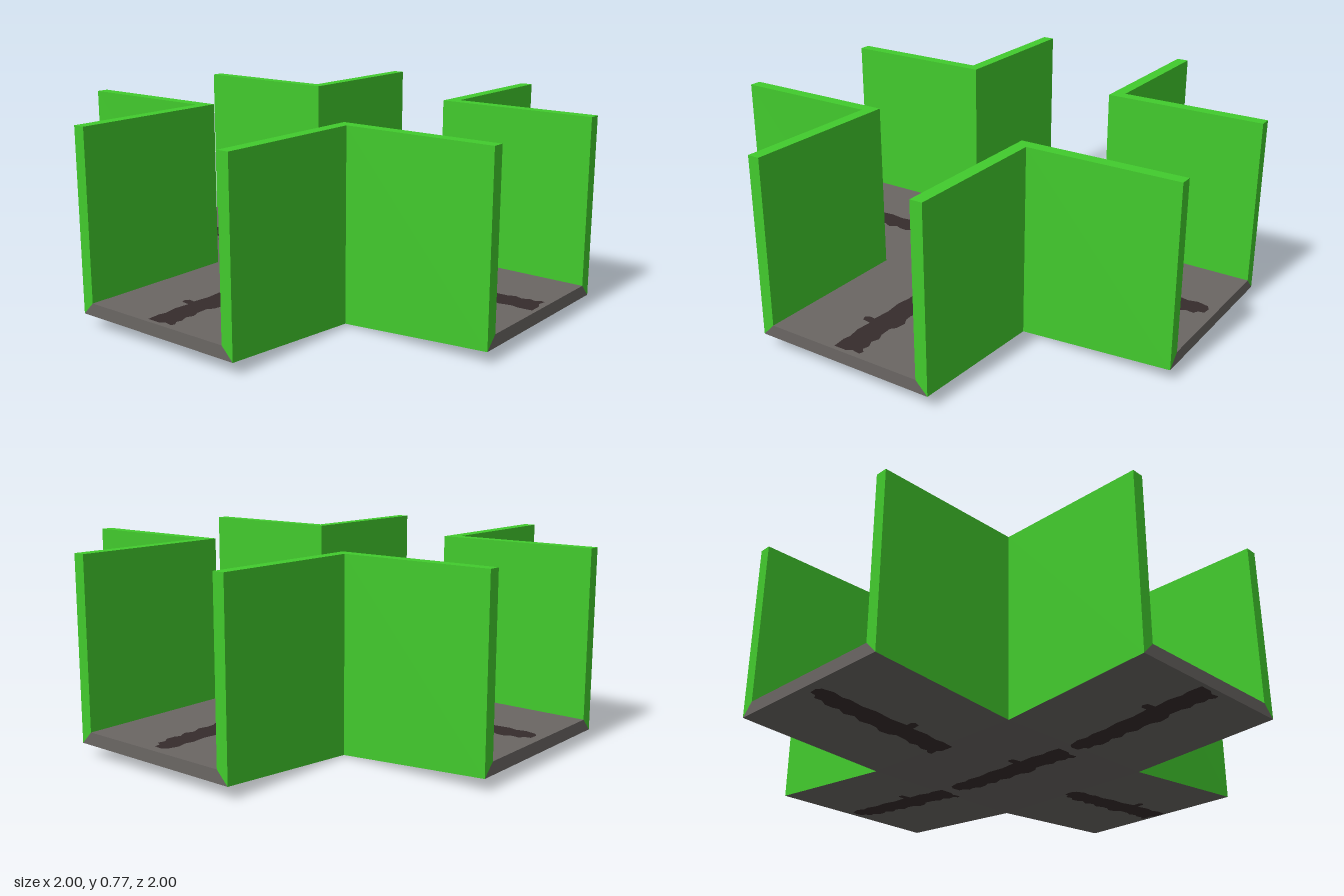
import * as THREE from 'three';

const OUT = 0.385, IN = 0.335, FOLD = 0.375;      // wall outside, wall inside, underside fold
const TOP = 0.77, FLOOR = 0.1, RIM = 0.05, BASE = 0.004;

// Flat quads, corners counter-clockwise from outside
function quads(list) {
  const pos = [];
  for (const [a, b, c, d] of list) pos.push(...a, ...b, ...c, ...a, ...c, ...d);
  const geo = new THREE.BufferGeometry();
  geo.setAttribute('position', new THREE.Float32BufferAttribute(pos, 3));
  geo.computeVertexNormals();
  return geo;
}

// Ragged stripe outline: [across, along]
const STRIPE = [
  [-0.04, -0.955], [-0.02, -0.968], [0.015, -0.965], [0.02, -0.94], [0.04, -0.93], [0.035, -0.9],
  [0.052, -0.875], [0.05, -0.84], [0.04, -0.82], [0.058, -0.785], [0.042, -0.75], [0.06, -0.71],
  [0.05, -0.67], [0.052, -0.64], [0.068, -0.61], [0.062, -0.57], [0.045, -0.55], [0.047, -0.5],
  [0.06, -0.47], [0.048, -0.44], [0.062, -0.41], [0.055, -0.385], [0.07, -0.37], [0.065, -0.352],
  [0.03, -0.358], [0.01, -0.345], [-0.045, -0.345], [-0.05, -0.4], [-0.043, -0.43], [-0.053, -0.48],
  [-0.047, -0.545], [-0.085, -0.55], [-0.092, -0.57], [-0.08, -0.582], [-0.053, -0.58],
  [-0.045, -0.65], [-0.052, -0.72], [-0.043, -0.78], [-0.05, -0.84], [-0.042, -0.87], [-0.052, -0.91],
];

function stripeGeometry(offset, below) {
  const shape = new THREE.Shape(STRIPE.map(([v, u]) => new THREE.Vector2(v, -(u + offset))));
  const geo = new THREE.ShapeGeometry(shape).rotateX(-Math.PI / 2);
  const p = geo.attributes.position;
  const centre = Math.abs(offset - 0.665) < 0.1;
  for (let i = 0; i < p.count; i++) {
    // the underside of each arm rises towards its end
    const rise = centre ? 0 : (Math.abs(p.getZ(i)) - FOLD) / (1 - FOLD) * (RIM - BASE);
    p.setY(i, below ? BASE + rise - 0.0015 : FLOOR + 0.002);
  }
  if (below) {
    const idx = geo.index.array;
    for (let i = 0; i < idx.length; i += 3) [idx[i], idx[i + 1]] = [idx[i + 1], idx[i]];
  }
  geo.computeVertexNormals();
  return geo;
}

export function createModel() {
  const group = new THREE.Group();
  group.name = 'crossroads';
  const material = (name, color) => {
    const m = new THREE.MeshStandardMaterial({ color });
    m.name = name;
    return m;
  };
  const green = material('hedge green', 0x42cb2d);
  const grey = material('road grey', 0x6a6663);
  const dark = material('stripe brown', 0x362c2c);
  const add = (name, geo, mat, turn = 0) => {
    const mesh = new THREE.Mesh(geo, mat);
    mesh.name = name;
    mesh.rotation.y = turn;
    group.add(mesh);
  };

  // Middle of the road, top and underside
  add('roadCentre', quads([
    [[-IN, FLOOR, -IN], [-IN, FLOOR, IN], [IN, FLOOR, IN], [IN, FLOOR, -IN]],
    [[-FOLD, BASE, -FOLD], [FOLD, BASE, -FOLD], [FOLD, BASE, FOLD], [-FOLD, BASE, FOLD]],
  ]), grey);

  // One road arm: top, sloping underside, end face
  const arm = quads([
    [[-IN, FLOOR, IN], [-IN, FLOOR, 1], [IN, FLOOR, 1], [IN, FLOOR, IN]],
    [[-FOLD, BASE, FOLD], [FOLD, BASE, FOLD], [OUT, RIM, 1], [-OUT, RIM, 1]],
    [[-OUT, RIM, 1], [OUT, RIM, 1], [IN, FLOOR, 1], [-IN, FLOOR, 1]],
  ]);

  // Half of a corner wall: outside, inside, end, top; the other half is its mirror
  const half = [
    [[FOLD, BASE, FOLD], [OUT, TOP, OUT], [OUT, TOP, 1], [OUT, RIM, 1]],
    [[IN, FLOOR, IN], [IN, FLOOR, 1], [IN, TOP, 1], [IN, TOP, IN]],
    [[IN, FLOOR, 1], [OUT, RIM, 1], [OUT, TOP, 1], [IN, TOP, 1]],
    [[IN, TOP, IN], [IN, TOP, 1], [OUT, TOP, 1], [OUT, TOP, OUT]],
  ];
  const mirrored = half.map(q => q.map(([x, y, z]) => [z, y, x]).reverse());
  const wall = quads([...half, ...mirrored]);

  for (let i = 0; i < 4; i++) {
    add('roadArm' + (i + 1), arm, grey, i * Math.PI / 2);
    add('cornerWall' + (i + 1), wall, green, i * Math.PI / 2);
  }

  // Worn stripes on both faces of the road
  for (const [offset, turn] of [[0, 0], [0.665, 0], [1.33, 0], [0, Math.PI / 2], [1.33, Math.PI / 2]]) {
    add('stripe', stripeGeometry(offset, false), dark, turn);
    add('stripeBelow', stripeGeometry(offset, true), dark, turn);
  }
  return group;
}
